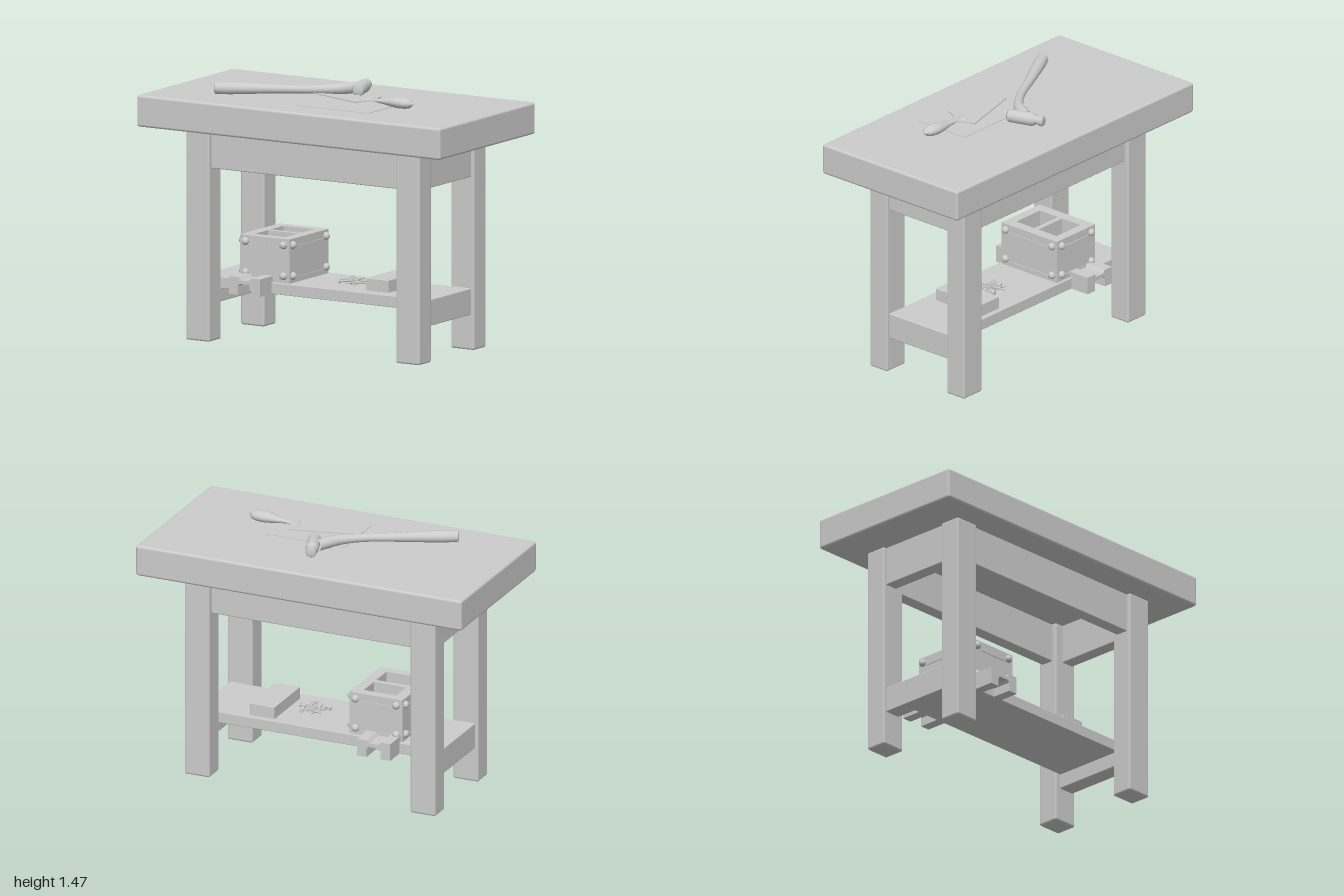
import * as THREE from 'three';
import { RoundedBoxGeometry } from 'three/addons/geometries/RoundedBoxGeometry.js';

const material = new THREE.MeshStandardMaterial({ color: 0xcccccc, side: THREE.DoubleSide });

function add(parent, name, geometry, x = 0, y = 0, z = 0) {
  const mesh = new THREE.Mesh(geometry, material);
  mesh.name = name;
  mesh.position.set(x, y, z);
  parent.add(mesh);
  return mesh;
}

// Box given by its limits on each axis, with softened edges.
function block(parent, name, [x0, x1], [y0, y1], [z0, z1], bevel = 0.006) {
  const g = new RoundedBoxGeometry(x1 - x0, y1 - y0, z1 - z0, 2, bevel);
  return add(parent, name, g, (x0 + x1) / 2, (y0 + y1) / 2, (z0 + z1) / 2);
}

// Tube along a curve whose radius follows a list of evenly spaced values.
function taperedTube(points, radii, flatten = 1) {
  const curve = new THREE.CatmullRomCurve3(points.map(p => new THREE.Vector3(...p)));
  const rings = 40, sides = 16;
  const g = new THREE.TubeGeometry(curve, rings, 1, sides);
  const pos = g.attributes.position, v = new THREE.Vector3();
  for (let i = 0; i <= rings; i++) {
    const centre = curve.getPointAt(i / rings);
    const t = (i / rings) * (radii.length - 1);
    const k = Math.min(Math.floor(t), radii.length - 2);
    const r = THREE.MathUtils.lerp(radii[k], radii[k + 1], t - k);
    for (let j = 0; j <= sides; j++) {
      const n = i * (sides + 1) + j;
      v.fromBufferAttribute(pos, n).sub(centre).multiplyScalar(r);
      v.y *= flatten;
      v.add(centre);
      pos.setXYZ(n, v.x, v.y, v.z);
    }
  }
  g.computeVertexNormals();
  return g;
}

function polygon(points) {
  return new THREE.Shape(points.map(p => new THREE.Vector2(...p)));
}

function buildTable(root) {
  const table = new THREE.Group();
  table.name = 'table';
  root.add(table);
  block(table, 'tableTop', [-1, 1], [1.205, 1.385], [-0.5, 0.5], 0.015);
  for (const s of [-1, 1]) {
    const span = (a, b) => (s > 0 ? [a, b] : [-b, -a]);
    for (const z of [[0.22, 0.35], [-0.35, -0.22]])
      block(table, 'leg', span(0.615, 0.77), [0, 1.21], z, 0.012);
    block(table, 'longApron', [-0.63, 0.63], [0.98, 1.21], span(0.25, 0.325));
    block(table, 'sideApron', span(0.67, 0.75), [0.98, 1.21], [-0.23, 0.23]);
    block(table, 'sideRail', span(0.65, 0.75), [0.2, 0.35], [-0.23, 0.23]);
  }
  block(table, 'shelf', [-0.66, 0.66], [0.285, 0.35], [-0.22, 0.22], 0.004);
}

function buildMould(root) {
  const mould = new THREE.Group();
  mould.name = 'mouldBox';
  mould.position.set(-0.34, 0.35, 0);
  root.add(mould);
  const w = 0.162, d = 0.205, h = 0.25;
  // Walls with two square pockets
  const shape = polygon([[-w, -d], [w, -d], [w, d], [-w, d]]);
  for (const [a, b] of [[-0.15, -0.015], [0.015, 0.15]])
    shape.holes.push(new THREE.Path([[-0.1, a], [-0.1, b], [0.1, b], [0.1, a]].map(p => new THREE.Vector2(...p))));
  const walls = new THREE.ExtrudeGeometry(shape, { depth: h, bevelEnabled: false });
  add(mould, 'walls', walls.rotateX(-Math.PI / 2));
  block(mould, 'floor', [-0.15, 0.15], [0.005, 0.04], [-0.19, 0.19], 0.002);
  // Domed bolts and tie strips on all four sides
  const bolt = new THREE.SphereGeometry(0.022, 14, 10);
  for (const y of [0.04, 0.215]) {
    for (const s of [-1, 1]) {
      for (const t of [-1, 1]) {
        add(mould, 'bolt', bolt, t * 0.125, y, s * (d + 0.003));
        add(mould, 'bolt', bolt, s * (w + 0.003), y, t * 0.172);
      }
      add(mould, 'tieStrip', new THREE.BoxGeometry(0.2, 0.012, 0.01), 0, y - 0.015, s * d);
      add(mould, 'tieStrip', new THREE.BoxGeometry(0.01, 0.012, 0.29), s * w, y - 0.015, 0);
    }
  }
}

function buildShelfItems(root) {
  // Channel straddling the shelf beneath the mould
  const profile = polygon([
    [-0.49, 0.285], [-0.43, 0.285], [-0.43, 0.335], [-0.42, 0.347], [-0.355, 0.347], [-0.345, 0.335],
    [-0.345, 0.285], [-0.285, 0.285], [-0.285, 0.385], [-0.345, 0.385], [-0.36, 0.368], [-0.415, 0.368],
    [-0.43, 0.385], [-0.49, 0.385]]);
  add(root, 'channel', new THREE.ExtrudeGeometry(profile, { depth: 0.68, bevelEnabled: false }), 0, 0, -0.34);

  block(root, 'brick', [0.29, 0.44], [0.345, 0.42], [-0.19, 0.15], 0.003);

  // Loose heap of nails
  const heap = new THREE.Group();
  heap.name = 'nailHeap';
  heap.position.set(0.14, 0.352, 0.01);
  root.add(heap);
  let seed = 7;
  const rand = () => (seed = (seed * 16807) % 2147483647) / 2147483647;
  const shank = new THREE.CylinderGeometry(0.006, 0.004, 0.065, 6);
  const head = new THREE.CylinderGeometry(0.012, 0.012, 0.006, 8);
  for (let i = 0; i < 20; i++) {
    const nail = new THREE.Group();
    nail.name = 'nail';
    const r = 0.065 * Math.sqrt(rand()), a = rand() * Math.PI * 2;
    nail.position.set(r * Math.cos(a), 0.012 + rand() * 0.026 * (1 - r / 0.08), r * Math.sin(a));
    nail.rotation.set(Math.PI / 2 + (rand() - 0.5) * 0.5, 0, rand() * Math.PI * 2, 'YXZ');
    nail.rotation.y = rand() * Math.PI * 2;
    add(nail, 'shank', shank);
    add(nail, 'head', head, 0, 0.033, 0);
    heap.add(nail);
  }
}

function buildHammer(root) {
  const hammer = new THREE.Group();
  hammer.name = 'hammer';
  root.add(hammer);
  add(hammer, 'hammerHandle', taperedTube(
    [[-0.615, 1.428, 0.285], [-0.37, 1.428, 0.155], [-0.14, 1.428, 0.035], [-0.03, 1.428, -0.055], [0.035, 1.428, -0.17]],
    [0.034, 0.036, 0.033, 0.03, 0.027, 0.025, 0.024, 0.025, 0.029, 0.035, 0.033], 0.95));
  const butt = add(hammer, 'handleButt', new THREE.SphereGeometry(0.034, 16, 10), -0.613, 1.428, 0.284);
  butt.scale.set(0.3, 0.95, 1);
  butt.rotation.y = 0.49;
  // Head lying along its own axis, with a necked striking face
  const profile = [[0, -0.11], [0.026, -0.11], [0.036, -0.1], [0.038, 0.035], [0.034, 0.05], [0.024, 0.057],
    [0.024, 0.075], [0.03, 0.082], [0.03, 0.1], [0.024, 0.107], [0, 0.107]];
  const g = new THREE.LatheGeometry(profile.map(p => new THREE.Vector2(...p)), 24).rotateX(-Math.PI / 2);
  const head = add(hammer, 'hammerHead', g, 0.057, 1.428, -0.185);
  head.rotation.y = 0.33;
}

function buildTrowel(root) {
  const trowel = new THREE.Group();
  trowel.name = 'trowel';
  root.add(trowel);
  const s = new THREE.Shape();
  s.moveTo(-0.09, 0.09);
  s.lineTo(0.295, -0.01);
  s.quadraticCurveTo(0.3, 0.07, 0.345, 0.085);
  s.lineTo(0.345, 0.115);
  s.quadraticCurveTo(0.29, 0.12, 0.262, 0.213);
  s.closePath();
  const blade = new THREE.ExtrudeGeometry(s, { depth: 0.006, bevelEnabled: false, curveSegments: 8 });
  add(trowel, 'blade', blade.rotateX(Math.PI / 2), 0, 1.423, 0);
  const boss = add(trowel, 'boss', new THREE.SphereGeometry(0.02, 16, 10), 0.283, 1.421, 0.09);
  boss.scale.set(0.85, 0.55, 2);
  boss.rotation.y = -0.15;
  add(trowel, 'trowelHandle', taperedTube(
    [[0.3, 1.42, 0.098], [0.38, 1.421, 0.103], [0.48, 1.424, 0.108], [0.585, 1.424, 0.113]],
    [0.01, 0.012, 0.017, 0.022, 0.029, 0.036, 0.042, 0.044, 0.042, 0.033, 0], 0.72));
}

export function createModel() {
  const root = new THREE.Group();
  root.name = 'workbench';
  buildTable(root);
  buildMould(root);
  buildShelfItems(root);
  buildHammer(root);
  buildTrowel(root);
  // Sheet of paper under the tools
  add(root, 'paperSheet', new THREE.BoxGeometry(0.48, 0.004, 0.35), 0.17, 1.386, 0.135);
  return root;
}
